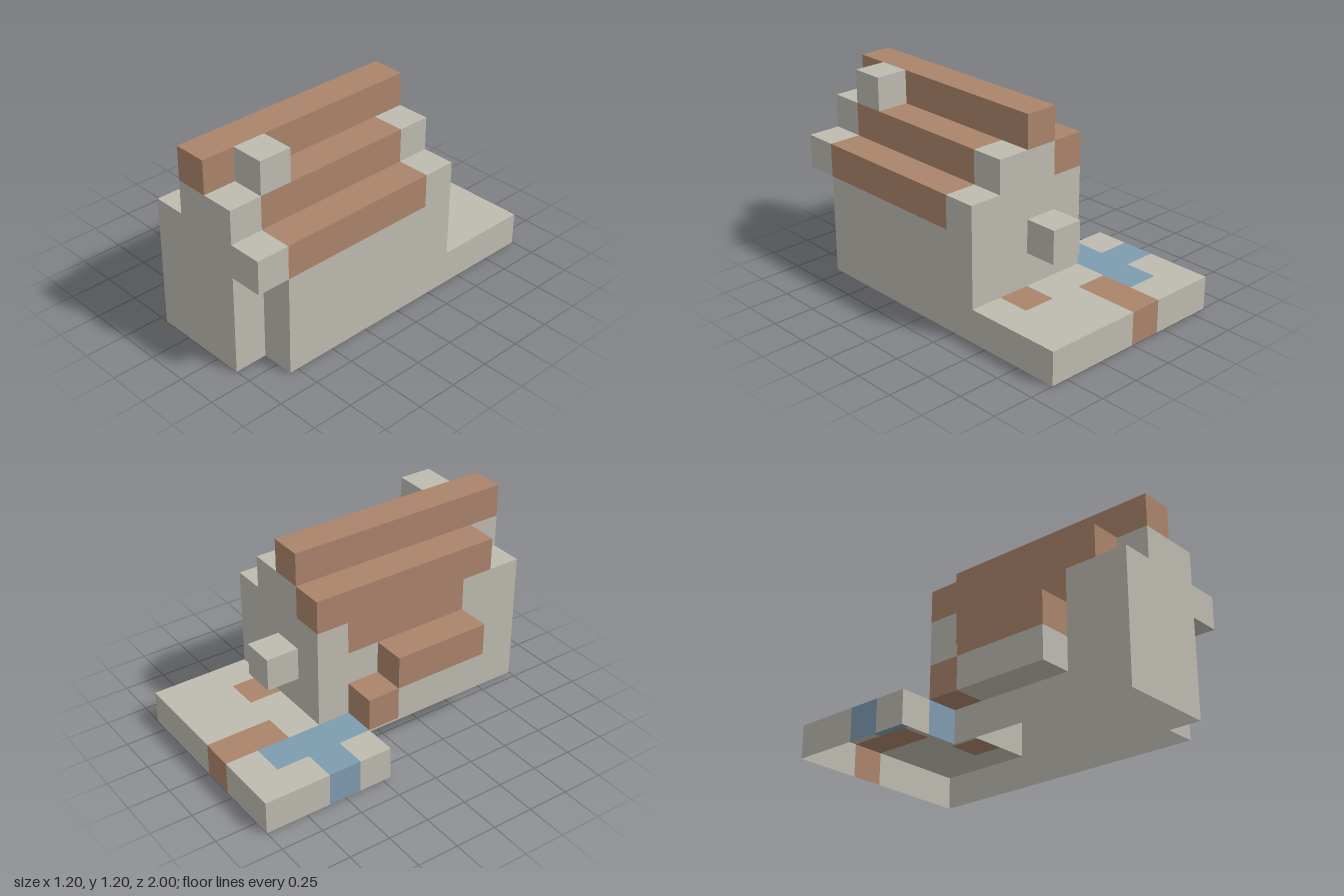
import * as THREE from 'three';
import { mergeGeometries } from 'three/addons/utils/BufferGeometryUtils.js';

const CELL = 0.2;
const SIZE = [6, 6, 10]; // cells along x, y, z

const material = (name, color) => {
  const m = new THREE.MeshStandardMaterial({ color, side: THREE.DoubleSide });
  m.name = name;
  return m;
};

export function createModel() {
  const stone = material('warm grey stone', 0xbdbab0);
  const brown = material('brown roof', 0xaa846b);
  const blue = material('blue water', 0x7e9bb0);

  // Blocks as cell ranges [x0, x1, y0, y1, z0, z1], upper ends excluded.
  // Later parts take over cells of earlier ones.
  const parts = [
    ['yardPlate', stone, [[0, 6, 0, 1, 0, 3], [0, 2, 0, 1, 3, 4]]],
    ['yardPath', brown, [[2, 3, 0, 1, 0, 2], [4, 5, 0, 1, 2, 3]]],
    ['pond', blue, [[1, 2, 0, 1, 1, 4], [0, 1, 0, 1, 2, 3]]],
    ['houseWalls', stone, [
      [2, 5, 0, 4, 3, 10], [3, 5, 4, 5, 3, 10],
      [5, 6, 0, 3, 3, 9], [5, 6, 3, 4, 3, 10],
    ]],
    ['roofRidge', brown, [[3, 4, 5, 6, 3, 10]]],
    ['roofLeftSteps', brown, [[4, 5, 4, 5, 4, 9], [5, 6, 3, 4, 4, 9]]],
    ['roofRightSteps', brown, [[2, 3, 4, 5, 3, 9], [2, 3, 3, 4, 4, 8]]],
    ['chimney', stone, [[4, 5, 5, 6, 8, 9]]],
    ['backStub', stone, [[3, 4, 2, 3, 2, 3]]],
    ['sideBay', stone, [[1, 2, 1, 2, 5, 8]]],
    ['sideBayRoof', brown, [[1, 2, 2, 3, 5, 8]]],
    ['sideStep', brown, [[1, 2, 1, 2, 4, 5]]],
  ];

  // Fill the grid with part numbers
  const grid = new Map();
  const key = (x, y, z) => `${x},${y},${z}`;
  parts.forEach(([, , blocks], part) => {
    for (const [x0, x1, y0, y1, z0, z1] of blocks)
      for (let x = x0; x < x1; x++)
        for (let y = y0; y < y1; y++)
          for (let z = z0; z < z1; z++) grid.set(key(x, y, z), part);
  });

  // Outer cell faces only; the underside at ground level stays open
  const directions = [
    [1, 0, 0], [-1, 0, 0], [0, 1, 0], [0, -1, 0], [0, 0, 1], [0, 0, -1],
  ].map((d) => new THREE.Vector3(...d));
  const zAxis = new THREE.Vector3(0, 0, 1);
  const faces = parts.map(() => []);
  for (const [cell, part] of grid) {
    const [x, y, z] = cell.split(',').map(Number);
    for (const d of directions) {
      if (grid.has(key(x + d.x, y + d.y, z + d.z)) || y + d.y < 0) continue;
      const face = new THREE.PlaneGeometry(CELL, CELL);
      face.applyQuaternion(new THREE.Quaternion().setFromUnitVectors(zAxis, d));
      face.translate(
        (x + 0.5 - SIZE[0] / 2 + d.x / 2) * CELL,
        (y + 0.5 + d.y / 2) * CELL,
        (z + 0.5 - SIZE[2] / 2 + d.z / 2) * CELL,
      );
      faces[part].push(face);
    }
  }

  const model = new THREE.Group();
  model.name = 'steppedHouse';
  parts.forEach(([name, mat], part) => {
    const mesh = new THREE.Mesh(mergeGeometries(faces[part]), mat);
    mesh.name = name;
    model.add(mesh);
  });
  return model;
}
